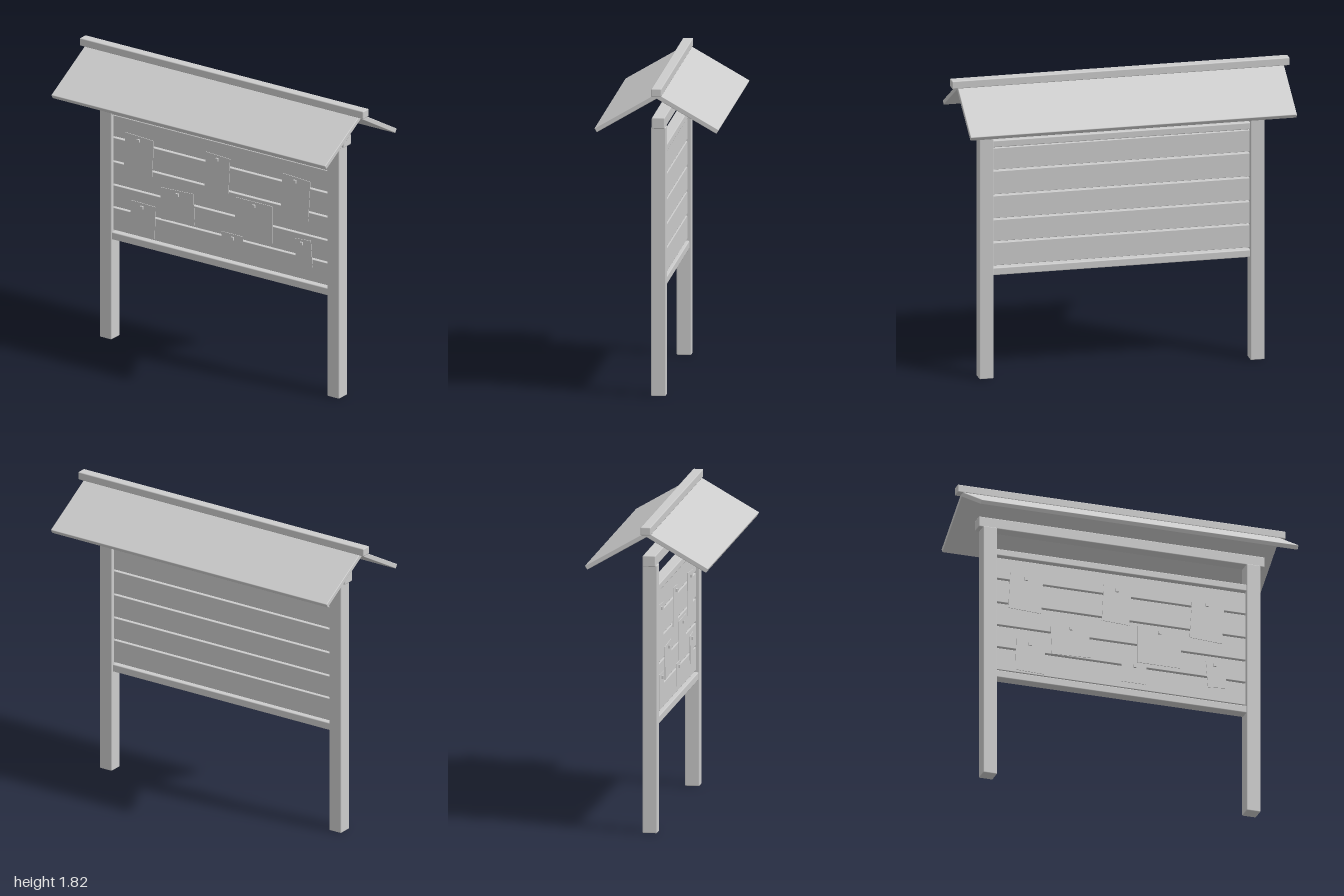
import * as THREE from 'three';
import { RoundedBoxGeometry } from 'three/addons/geometries/RoundedBoxGeometry.js';

const grey = new THREE.MeshStandardMaterial({ color: 0xcccccc });
grey.name = 'plain grey';

// Box with slightly eased edges, given by its limits
function beam(name, [x0, x1], [y0, y1], [z0, z1], bevel = 0.006) {
  const geo = new RoundedBoxGeometry(x1 - x0, y1 - y0, z1 - z0, 1, bevel);
  const mesh = new THREE.Mesh(geo, grey);
  mesh.name = name;
  mesh.position.set((x0 + x1) / 2, (y0 + y1) / 2, (z0 + z1) / 2);
  return mesh;
}

export function createModel() {
  const model = new THREE.Group();
  model.name = 'noticeBoard';

  // Posts and the crossbeam resting on them
  model.add(beam('rightPost', [-0.85, -0.765], [0, 1.57], [-0.042, 0.044]));
  model.add(beam('leftPost', [0.756, 0.841], [0, 1.57], [-0.042, 0.044]));
  model.add(beam('crossbeam', [-0.875, 0.87], [1.565, 1.63], [-0.038, 0.038]));

  // Rails above and below the board
  model.add(beam('topRail', [-0.775, 0.765], [1.398, 1.44], [-0.03, 0.038]));
  model.add(beam('bottomRail', [-0.775, 0.765], [0.622, 0.668], [-0.03, 0.038]));

  // Horizontal planks with narrow gaps
  const seams = [0.673, 0.82, 0.96, 1.105, 1.255, 1.395];
  const planks = new THREE.Group();
  planks.name = 'planks';
  for (let i = 0; i < 5; i++) {
    planks.add(beam('plank', [-0.772, 0.762], [seams[i] + 0.005, seams[i + 1] - 0.005], [-0.018, 0.022], 0.003));
  }
  model.add(planks);

  // Pinned notes: left, right, bottom, top, tilt, pin x, pin y
  const notes = [
    [-0.685, -0.485, 1.075, 1.3, -0.05, -0.585, 1.275],
    [-0.115, 0.053, 1.08, 1.31, -0.05, -0.03, 1.285],
    [0.422, 0.618, 1.05, 1.3, -0.06, 0.52, 1.275],
    [-0.43, -0.195, 0.83, 1.025, 0.04, -0.31, 1.0],
    [0.095, 0.36, 0.85, 1.08, 0, 0.23, 1.055],
    [-0.645, -0.47, 0.69, 0.89, -0.03, -0.56, 0.865],
    [0, 0.15, 0.715, 0.845, 0, 0.08, 0.82],
    [0.52, 0.635, 0.76, 0.925, 0.08, 0.565, 0.9],
  ];
  for (const [x0, x1, y0, y1, tilt, px, py] of notes) {
    const note = new THREE.Mesh(new THREE.BoxGeometry(x1 - x0, y1 - y0, 0.004), grey);
    note.name = 'note';
    note.position.set((x0 + x1) / 2, (y0 + y1) / 2, 0.0245);
    note.rotation.z = tilt;
    const pin = new THREE.Mesh(new THREE.BoxGeometry(0.018, 0.018, 0.012), grey);
    pin.name = 'pin';
    pin.position.set(px, py, 0.031);
    model.add(note, pin);
  }

  // Two roof slabs sloping down from the ridge
  for (const side of [1, -1]) {
    const slope = new THREE.Group();
    slope.name = side > 0 ? 'frontRoof' : 'backRoof';
    slope.position.y = 1.787;
    slope.rotation.x = side * Math.PI / 6;
    const z = side > 0 ? [0, 0.417] : [-0.417, 0];
    slope.add(beam('roofSlab', [-0.968, 0.965], [-0.028, 0], z, 0.004));
    model.add(slope);
  }
  model.add(beam('ridgeCap', [-1, 1], [1.77, 1.818], [-0.031, 0.029]));

  return model;
}
